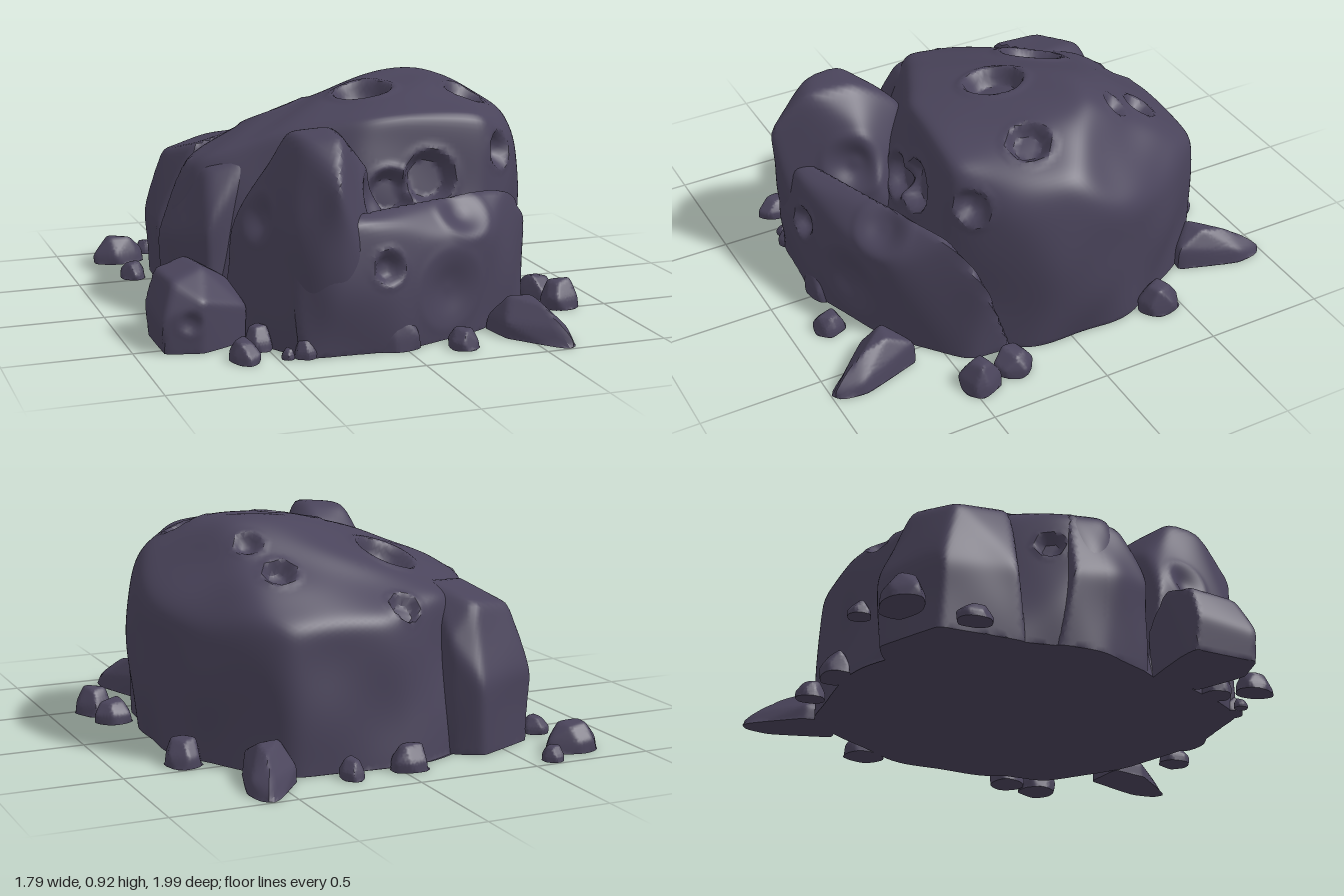
import * as THREE from 'three';
import { mergeVertices, toCreasedNormals } from 'three/addons/utils/BufferGeometryUtils.js';
import { ConvexGeometry } from 'three/addons/geometries/ConvexGeometry.js';

const stone = new THREE.MeshStandardMaterial({ color: 0x4a445b });
stone.name = 'dark stone';
const V = (p) => new THREE.Vector3(...p);

function seeded(seed) {
  let s = seed * 7919 + 17;
  return () => ((s = (s * 16807) % 2147483647) / 2147483647);
}

// Distinct face planes of the hull around some corner points
function hullPlanes(points, centre) {
  const pos = new ConvexGeometry(points.map(V)).attributes.position;
  const planes = [];
  for (let i = 0; i < pos.count; i += 3) {
    const [a, b, c] = [0, 1, 2].map((k) => new THREE.Vector3().fromBufferAttribute(pos, i + k));
    const n = b.clone().sub(a).cross(c.sub(a)).normalize();
    if (n.lengthSq() < 0.5 || planes.some((q) => q.n.dot(n) > 0.997)) continue;
    planes.push({ n, d: n.dot(a.sub(centre)) });
  }
  return planes;
}

// Worn stone: hull with softened edges, pressed-in craters and a flat base.
// A crater is [x, y, z, radius, depth, floor share].
function rock(name, points, { centre, detail = 8, craters = [], rough = 0, sharp = 36 }) {
  const c = V(centre);
  const planes = hullPlanes(points, c);
  const reach = (dir) => {
    let sum = 0;
    for (const { n, d } of planes) {
      const k = n.dot(dir) / d;
      if (k > 0) sum += Math.pow(k, sharp);
    }
    return 1.015 * Math.pow(sum, -1 / sharp);
  };
  const pits = craters.map(([x, y, z, r, depth, floor = 0.55]) => {
    const dir = new THREE.Vector3(x, y, z).sub(c).normalize();
    const at = dir.clone().multiplyScalar(reach(dir)).add(c);
    const n = planes.reduce((best, q) => (q.n.dot(dir) / q.d > best.n.dot(dir) / best.d ? q : best)).n;
    return { at, n, r, depth, floor };
  });

  const ball = new THREE.IcosahedronGeometry(1, detail);
  ball.deleteAttribute('uv');
  ball.deleteAttribute('normal');
  const geo = mergeVertices(ball, 1e-5);
  const pos = geo.attributes.position;
  const v = new THREE.Vector3();
  for (let i = 0; i < pos.count; i++) {
    const dir = v.fromBufferAttribute(pos, i).normalize().clone();
    v.multiplyScalar(reach(dir)).add(c);
    const wave = Math.sin(v.x * 11 + 2 * Math.sin(v.z * 7)) * Math.sin(v.y * 12 + v.z * 5)
      + 0.6 * Math.sin(v.z * 15 + v.x * 6 + 1) * Math.sin(v.y * 9 + 2);
    v.addScaledVector(dir, rough * wave);
    for (const { at, n, r, depth, floor } of pits) {
      const t = v.distanceTo(at) / r;
      if (t < 1.5) {
        const rim = 0.1 * Math.exp(-Math.pow((t - 1.08) * 7, 2));
        v.addScaledVector(n, depth * (rim - 1 + THREE.MathUtils.smoothstep(t, floor, 1)));
      }
    }
    pos.setXYZ(i, v.x, Math.max(0, v.y), v.z);
  }
  const mesh = new THREE.Mesh(toCreasedNormals(geo, 0.75), stone);
  mesh.name = name;
  return mesh;
}

// Ring of base corners carried below the ground, where they are cut flat
const foot = (ring) => ring.map(([x, z]) => [x, -0.15, z]);

// Small stone of half widths w, d and height h
function pebble(name, x, z, w, d, h, seed) {
  const rnd = seeded(seed);
  const pts = [];
  [[-h * 0.5, 1, 6], [h * 0.4, 1, 6], [h, 0.55, 4]].forEach(([y, s, n], k) => {
    for (let i = 0; i < n; i++) {
      const a = ((i + 0.5 * k + 0.5 * rnd()) / n) * Math.PI * 2;
      const f = s * (0.92 + 0.2 * rnd());
      pts.push([x + Math.cos(a) * w * f, y * (k ? 0.85 + 0.2 * rnd() : 1), z + Math.sin(a) * d * f]);
    }
  });
  return rock(name, pts, { centre: [x, h * 0.3, z], detail: 9, sharp: 28 });
}

export function createModel() {
  const group = new THREE.Group();
  group.name = 'crateredBoulder';

  // Main body with its sloping cratered top
  group.add(rock('mainBoulder', [
    ...foot([[0.68, 0.2], [0.7, -0.3], [0.42, -0.76], [-0.2, -0.78], [-0.6, -0.55],
      [-0.68, -0.1], [-0.58, 0.3], [-0.3, 0.55], [0.4, 0.58]]),
    [0.8, 0.62, -0.12], [0.8, 0.48, 0.08], [0.75, 0.76, 0.02], [0.69, 0.66, 0.27], [0.79, 0.3, -0.15],
    [0.33, 0.94, -0.23], [0.46, 0.93, -0.2], [0.0, 0.83, 0.36], [0.5, 0.81, 0.4], [0, 0.87, 0.05],
    [0.42, 0.57, -0.74], [0, 0.58, -0.75], [-0.3, 0.62, -0.6], [0.67, 0.5, -0.48],
    [-0.62, 0.6, -0.15], [-0.63, 0.6, 0.08], [-0.3, 0.76, 0.2], [-0.74, 0.3, -0.08], [-0.2, 0.78, -0.2],
  ], {
    centre: [0.05, 0.35, -0.05], detail: 46, rough: 0.007,
    craters: [
      [-0.2, 0.77, -0.33, 0.13, 0.07, 0.65], [0.1, 0.86, 0.02, 0.125, 0.07, 0.65],
      [0.53, 0.86, 0.1, 0.09, 0.05], [0.37, 0.75, -0.52, 0.07, 0.05, 0.4],
      [0.44, 0.85, -0.36, 0.06, 0.035, 0.3], [-0.1, 0.62, -0.72, 0.07, 0.04],
      [0.25, 0.6, 0.48, 0.11, 0.06, 0.65], [0.07, 0.55, 0.5, 0.1, 0.06], [0.57, 0.66, 0.37, 0.08, 0.05, 0.3],
      [-0.7, 0.35, 0.12, 0.08, 0.04], [-0.66, 0.45, -0.2, 0.06, 0.04],
    ],
  }));

  // Peak leaning on the front right corner
  group.add(rock('frontPeak', [
    ...foot([[-0.57, 0.22], [-0.56, 0.45], [-0.42, 0.72], [-0.2, 0.77], [0, 0.7], [0, 0.2]]),
    [-0.38, 0.82, 0.48], [-0.2, 0.83, 0.5], [-0.22, 0.82, 0.69], [-0.37, 0.81, 0.64],
    [-0.28, 0.66, 0.85], [-0.07, 0.66, 0.52], [0.03, 0.45, 0.5], [-0.57, 0.4, 0.33],
    [-0.44, 0.45, 0.72], [-0.44, 0.62, 0.35], [-0.17, 0.7, 0.3],
  ], { centre: [-0.25, 0.35, 0.5], detail: 26, rough: 0.006,
    craters: [[-0.52, 0.5, 0.5, 0.1, 0.03, 0.1], [0, 0.6, 0.6, 0.12, 0.04, 0.2]] }));

  // Lower shelf along the front
  group.add(rock('frontShelf', [
    ...foot([[-0.4, 0.77], [0, 0.78], [0.35, 0.66], [0.64, 0.45], [0.66, 0.2], [-0.2, 0.2]]),
    [-0.44, 0.36, 0.71], [-0.32, 0.53, 0.77], [-0.12, 0.5, 0.78], [-0.05, 0.25, 0.83], [-0.28, 0.25, 0.82],
    [0.2, 0.4, 0.73], [0.42, 0.38, 0.65], [0.55, 0.53, 0.46], [0.69, 0.38, 0.37], [0.1, 0.48, 0.6],
  ], { centre: [0.08, 0.2, 0.5], detail: 30, rough: 0.007,
    craters: [[-0.08, 0.34, 0.83, 0.07, 0.045, 0.3], [0.22, 0.2, 0.75, 0.15, 0.025, 0.1],
      [0.3, 0.48, 0.62, 0.12, 0.03, 0.1]] }));

  // Buttresses on the back right corner and the side
  group.add(rock('backButtress', [
    ...foot([[-0.64, -0.66], [-0.4, -0.78], [-0.28, -0.72], [-0.25, -0.4], [-0.66, -0.3]]),
    [-0.66, 0.3, -0.66], [-0.37, 0.28, -0.8], [-0.27, 0.45, -0.7], [-0.6, 0.56, -0.58],
    [-0.4, 0.58, -0.68], [-0.3, 0.66, -0.45], [-0.52, 0.62, -0.32], [-0.69, 0.3, -0.36],
  ], { centre: [-0.46, 0.25, -0.53], detail: 20, rough: 0.005 }));
  group.add(rock('sideButtress', [
    ...foot([[-0.68, -0.22], [-0.7, 0.0], [-0.6, 0.22], [-0.3, 0.2], [-0.3, -0.3]]),
    [-0.74, 0.3, -0.14], [-0.72, 0.34, 0.04], [-0.62, 0.4, 0.24], [-0.62, 0.62, -0.1],
    [-0.6, 0.6, 0.12], [-0.42, 0.66, -0.1], [-0.42, 0.66, 0.16],
  ], { centre: [-0.5, 0.25, 0], detail: 20, rough: 0.006 }));

  // Block resting against the side
  group.add(rock('sideBlock', [
    ...foot([[-0.87, 0.28], [-0.87, 0.55], [-0.74, 0.58], [-0.56, 0.5], [-0.56, 0.28]]),
    [-0.9, 0.14, 0.29], [-0.89, 0.14, 0.55], [-0.86, 0.27, 0.29], [-0.84, 0.26, 0.5], [-0.73, 0.3, 0.25],
    [-0.7, 0.3, 0.42], [-0.74, 0.2, 0.59], [-0.54, 0.14, 0.48], [-0.56, 0.2, 0.27],
  ], { centre: [-0.73, 0.13, 0.41], detail: 14, craters: [[-0.79, 0.12, 0.58, 0.05, 0.015, 0.2]] }));

  // Matching pair of long slabs, one at the front and one at the back
  for (const s of [1, -1]) {
    const pts = [
      ...[[0.4, 0.64], [0.57, 0.62], [0.65, 0.86], [0.64, 0.97], [0.58, 1.0], [0.42, 0.8]].map(([x, z]) => [x, -0.03, z]),
      [0.4, 0.06, 0.66], [0.56, 0.09, 0.62], [0.46, 0.15, 0.72], [0.55, 0.15, 0.74], [0.56, 0.13, 0.84],
      [0.64, 0.05, 0.88], [0.42, 0.06, 0.79], [0.61, 0.03, 0.99],
    ].map(([x, y, z]) => [x, y, z * s]);
    group.add(rock(s > 0 ? 'frontSlab' : 'backSlab', pts, { centre: [0.52, 0.05, 0.78 * s], detail: 12 }));
  }

  // Scattered rubble: x, z, half width, half depth, height
  [
    [-0.62, 0.71, 0.06, 0.08, 0.08], [-0.53, 0.59, 0.06, 0.06, 0.09], [-0.46, 0.75, 0.025, 0.03, 0.04],
    [-0.39, 0.75, 0.05, 0.05, 0.07], [0.22, 0.84, 0.06, 0.07, 0.08], [-0.03, 0.77, 0.1, 0.06, 0.14],
    [0.78, 0.3, 0.08, 0.075, 0.1], [0.81, 0.46, 0.08, 0.085, 0.12], [0.73, -0.41, 0.075, 0.09, 0.11],
    [0.21, -0.84, 0.045, 0.06, 0.08], [-0.04, -0.83, 0.08, 0.06, 0.11], [-0.6, -0.95, 0.045, 0.045, 0.06],
    [-0.75, -0.85, 0.11, 0.08, 0.11], [-0.75, -0.56, 0.055, 0.07, 0.07],
  ].forEach((p, i) => group.add(pebble('rubble' + (i + 1), ...p, i + 3)));

  return group;
}
